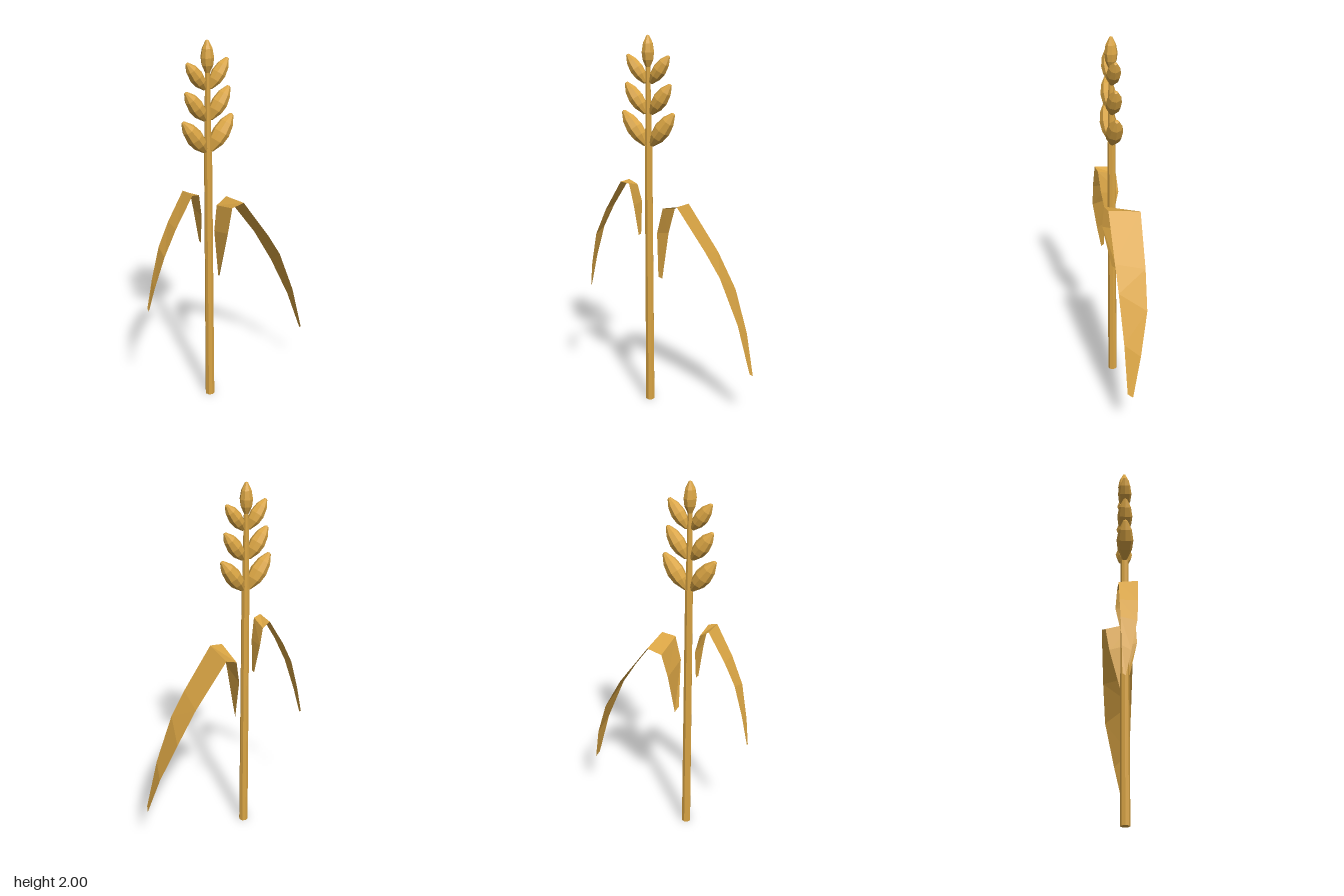
import * as THREE from 'three';

const mat = new THREE.MeshStandardMaterial({ color: 0xdaa544, flatShading: true, side: THREE.DoubleSide });
const STEM_X = -0.12, STEM_Z = 0.022;

function add(parent, name, geometry) {
  const mesh = new THREE.Mesh(geometry, mat);
  mesh.name = name;
  parent.add(mesh);
  return mesh;
}

// Faceted spindle of unit length along +y, base at the origin
function grainGeometry(length, radius) {
  const profile = [[0, 0], [0.3, 0.03], [0.86, 0.28], [1, 0.5], [0.78, 0.76], [0.24, 0.98], [0, 1]];
  return new THREE.LatheGeometry(profile.map(([r, y]) => new THREE.Vector2(r * radius, y * length)), 8);
}

// Thin folded blade; each section is [frontX, frontY, frontZ, backX, backY, backZ]
function bladeGeometry(sections) {
  const index = [];
  for (let i = 0; i < sections.length - 1; i++) {
    const a = i * 2;
    index.push(a, a + 2, a + 1, a + 1, a + 2, a + 3);
  }
  const geometry = new THREE.BufferGeometry();
  geometry.setAttribute('position', new THREE.Float32BufferAttribute(sections.flat(), 3));
  geometry.setIndex(index);
  geometry.computeVertexNormals();
  return geometry;
}

export function createModel() {
  const group = new THREE.Group();
  group.name = 'grainStalk';

  // Stalk with a thinner upper end running through the ear
  add(group, 'stem', new THREE.CylinderGeometry(0.021, 0.025, 1.44, 8)).position.set(STEM_X, 0.72, STEM_Z);
  add(group, 'earStem', new THREE.CylinderGeometry(0.012, 0.019, 0.44, 8)).position.set(STEM_X, 1.65, STEM_Z);

  // Ear: three mirrored pairs of grains and one at the tip
  const ear = new THREE.Group();
  ear.name = 'ear';
  ear.position.set(STEM_X, 0, STEM_Z);
  group.add(ear);
  const pairs = [[1.435, 0.142, 1.612, 0.045], [1.6, 0.124, 1.758, 0.041], [1.757, 0.115, 1.9, 0.037]];
  for (const [baseY, tipX, tipY, radius] of pairs) {
    const baseX = 0.012;
    const length = Math.hypot(tipX - baseX, tipY - baseY);
    for (const side of [-1, 1]) {
      const grain = add(ear, side > 0 ? 'leftGrain' : 'rightGrain', grainGeometry(length, radius));
      grain.position.set(side * baseX, baseY, 0);
      grain.rotation.z = -side * Math.atan2(tipX - baseX, tipY - baseY);
    }
  }
  add(ear, 'tipGrain', grainGeometry(0.17, 0.034)).position.y = 1.83;

  // Large leaf, rising beside the stem then drooping outwards
  add(group, 'leftLeaf', bladeGeometry([
    [-0.062, 0.73, 0.035, -0.052, 0.71, 0.005],
    [-0.045, 0.99, 0.09, -0.04, 0.95, -0.055],
    [-0.015, 1.125, 0.085, -0.012, 1.085, -0.075],
    [0.06, 1.137, 0.077, 0.06, 1.115, -0.094],
    [0.22, 0.91, 0.077, 0.235, 0.87, -0.081],
    [0.3, 0.78, 0.075, 0.34, 0.68, -0.067],
    [0.4, 0.53, 0.068, 0.425, 0.46, -0.015],
    [0.47, 0.265, 0.065, 0.48, 0.245, 0.038],
  ]));

  // Smaller leaf on the other side
  add(group, 'rightLeaf', bladeGeometry([
    [-0.175, 0.95, 0.035, -0.172, 0.95, 0.01],
    [-0.188, 1.12, 0.066, -0.182, 1.12, -0.028],
    [-0.208, 1.238, 0.078, -0.204, 1.215, -0.02],
    [-0.252, 1.247, 0.087, -0.25, 1.24, -0.014],
    [-0.345, 1.085, 0.081, -0.34, 1.09, -0.012],
    [-0.41, 0.94, 0.072, -0.4, 0.965, -0.009],
    [-0.455, 0.76, 0.04, -0.447, 0.79, -0.006],
    [-0.48, 0.62, 0.012, -0.48, 0.63, -0.004],
  ]));

  return group;
}
